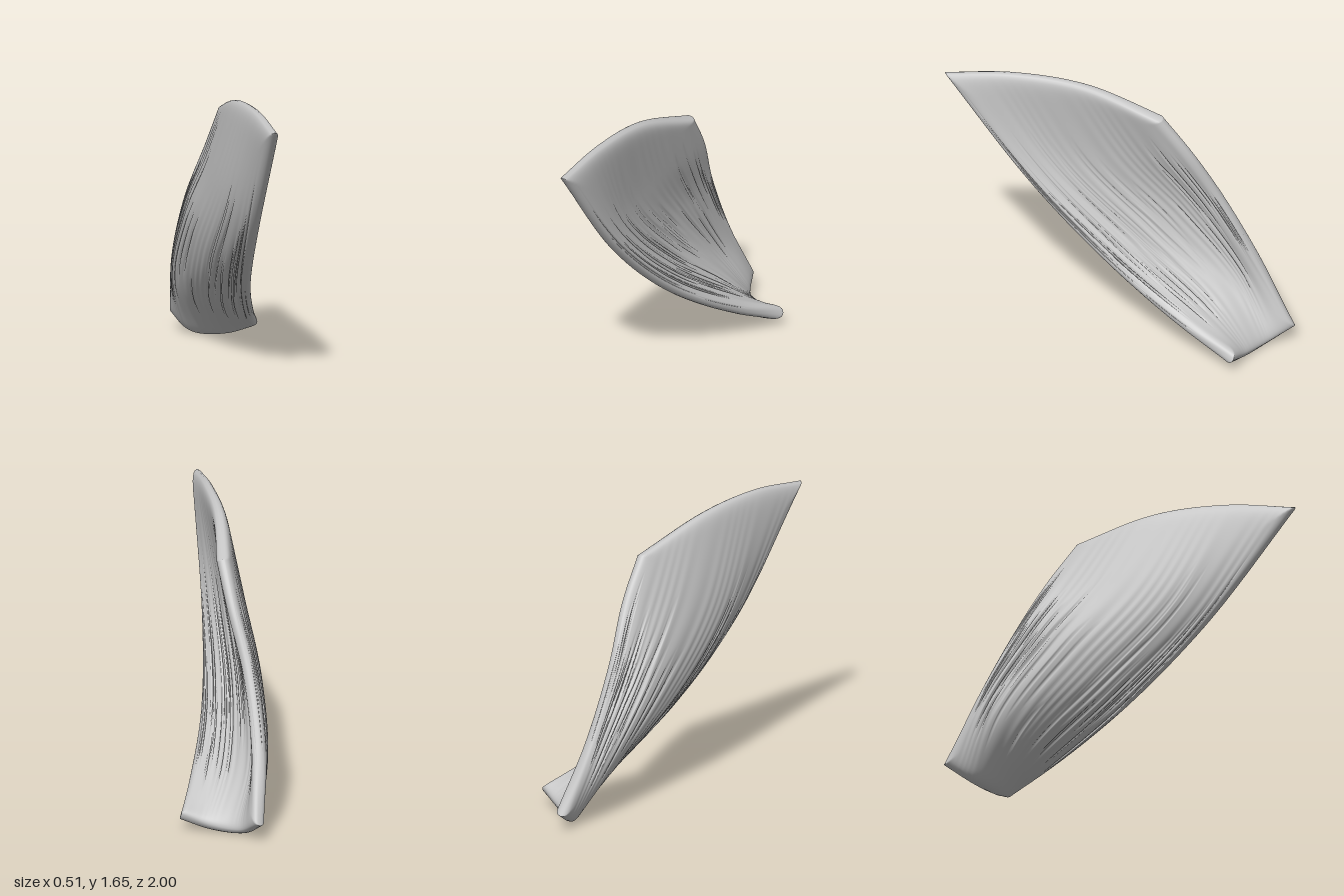
import * as THREE from 'three';
import { mergeVertices } from 'three/addons/utils/BufferGeometryUtils.js';

const V = (x, y, z) => new THREE.Vector3(x, y, z);
const ACROSS = 150, ALONG = 60, HALF_THICK = 0.043;

// Guide fibres from the narrow lower end to the wide upper end, front edge first
const guides = [
  [V(0.245, 0.09, -0.77), V(0.18, 0.2, -0.47), V(0.092, 0.48, 0), V(0.066, 0.93, 0.485), V(0.095, 1.61, 1)],
  [V(0.08, 0.025, -0.79), V(-0.05, 0.275, -0.52), V(-0.095, 0.605, -0.12), V(-0.05, 1.04, 0.3), V(0.05, 1.65, 0.62)],
  [V(-0.1, 0.015, -0.86), V(-0.205, 0.365, -0.67), V(-0.187, 0.775, -0.35), V(-0.103, 1.15, -0.05), V(0, 1.615, 0.2)],
  [V(-0.205, 0.1, -1), V(-0.2, 0.48, -0.805), V(-0.15, 0.9, -0.595), V(-0.065, 1.225, -0.43), V(-0.01, 1.465, -0.27)],
].map((points) => new THREE.CatmullRomCurve3(points));

function seeded(seed) {
  return () => (seed = (seed * 16807) % 2147483647) / 2147483647;
}

// Thickness factor that rounds off both ends of a 0..1 range
const rounded = (t, power) => Math.sqrt(Math.max(0, 1 - Math.abs(2 * t - 1) ** power));
// Spacing that grows denser towards both ends
const eased = (t, amount) => t + amount * (0.5 - 0.5 * Math.cos(Math.PI * t) - t);

// Narrow furrows that follow the fibres, keyed by their place round the section
function makeFurrows() {
  const random = seeded(71);
  const furrows = new Map();
  for (let k = 0; k < 100; k++) {
    const column = Math.floor(random() * 2 * ACROSS);
    const start = 0.12 + random() * 0.35;
    furrows.set(column, { start, end: start + 0.2 + random() * 0.33 });
  }
  return furrows;
}

function makeSheet() {
  const furrows = makeFurrows();
  const ring = 2 * ACROSS;
  const positions = [], indices = [];
  const e = 0.002;
  for (let i = 0; i <= ALONG; i++) {
    const v = eased(i / ALONG, 0.85);
    const section = (t) => new THREE.CatmullRomCurve3(guides.map((g) => g.getPoint(t)));
    const here = section(v);
    const below = section(Math.max(0, v - e)), above = section(Math.min(1, v + e));
    for (let j = 0; j < ring; j++) {
      // One face runs front to back, the other returns
      const side = j < ACROSS ? 1 : -1;
      const u = eased(j < ACROSS ? j / ACROSS : (ring - j) / ACROSS, 0.8);
      const du = here.getPoint(Math.min(1, u + e)).sub(here.getPoint(Math.max(0, u - e)));
      const dv = above.getPoint(u).sub(below.getPoint(u));
      const normal = du.cross(dv).normalize();
      let thick = HALF_THICK * Math.min(rounded(u, 18), rounded(v, 30));
      // Soft bundles plus the fine furrows
      const fade = Math.sin(Math.PI * v);
      thick *= 1 + 0.05 * fade * Math.sin(u * 95 + 3 * Math.sin(u * 17 + side));
      const f = furrows.get(j);
      if (f && v > f.start && v < f.end) {
        thick *= 1 - 0.3 * Math.sin((Math.PI * (v - f.start)) / (f.end - f.start));
      }
      const p = here.getPoint(u).addScaledVector(normal, side * thick);
      positions.push(p.x, p.y, p.z);
      if (i < ALONG) {
        const a = i * ring + j, b = i * ring + ((j + 1) % ring);
        indices.push(a, b, b + ring, a, b + ring, a + ring);
      }
    }
  }
  const geometry = new THREE.BufferGeometry();
  geometry.setAttribute('position', new THREE.Float32BufferAttribute(positions, 3));
  geometry.setIndex(indices);
  const merged = mergeVertices(geometry, 1e-5);
  merged.computeVertexNormals();
  return merged;
}

export function createModel() {
  const group = new THREE.Group();
  group.name = 'twistedFibreFan';
  const grey = new THREE.MeshStandardMaterial({ color: 0xc6c6c6 });
  grey.name = 'lightGrey';
  const sheet = new THREE.Mesh(makeSheet(), grey);
  sheet.name = 'fibreSheet';
  group.add(sheet);
  return group;
}
